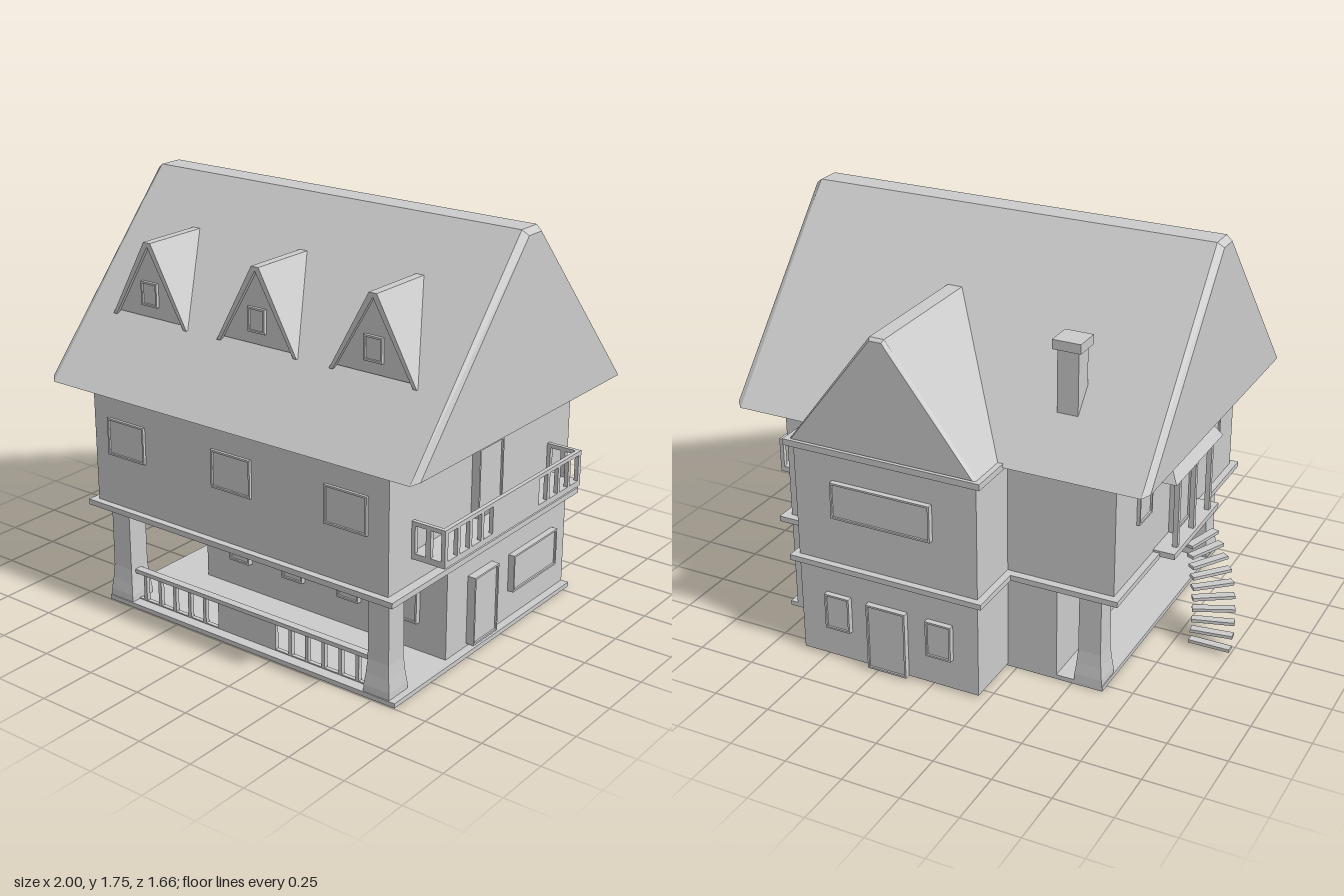
import * as THREE from 'three';

const material = new THREE.MeshStandardMaterial({ color: 0xcccccc, flatShading: true });

export function createModel() {
  const house = new THREE.Group();
  house.name = 'house';

  function add(name, geometry, parent = house) {
    const mesh = new THREE.Mesh(geometry, material);
    mesh.name = name;
    parent.add(mesh);
    return mesh;
  }

  // box given by its limits on each axis
  function block(name, [x0, x1], [y0, y1], [z0, z1], parent = house) {
    const mesh = add(name, new THREE.BoxGeometry(x1 - x0, y1 - y0, z1 - z0), parent);
    mesh.position.set((x0 + x1) / 2, (y0 + y1) / 2, (z0 + z1) / 2);
    return mesh;
  }

  const polygon = (points) => new THREE.Shape(points.map(([x, y]) => new THREE.Vector2(x, y)));

  function rectangle(x0, y0, x1, y1) {
    return polygon([[x0, y0], [x1, y0], [x1, y1], [x0, y1]]);
  }

  // roof prism with bevelled gable ends, running along z from 0 to length
  function roofPrism(profile, length, bevel) {
    const geometry = new THREE.ExtrudeGeometry(polygon(profile), {
      depth: length - 2 * bevel, bevelEnabled: true, bevelSegments: 1,
      bevelThickness: bevel, bevelSize: bevel * 0.75, bevelOffset: -bevel * 0.75,
    });
    return geometry.translate(0, 0, bevel);
  }

  // framed window or door standing out from a wall; angle turns it to face the wall's way
  function opening(name, x, y, z, w, h, depth, angle) {
    const group = new THREE.Group();
    group.name = name;
    const frame = rectangle(-w / 2, -h / 2, w / 2, h / 2);
    const t = 0.008;
    frame.holes.push(rectangle(-w / 2 + t, -h / 2 + t, w / 2 - t, h / 2 - t));
    add('frame', new THREE.ExtrudeGeometry(frame, { depth, bevelEnabled: false }), group);
    block('panel', [-w / 2 + t, w / 2 - t], [-h / 2 + t, h / 2 - t], [-0.01, depth - 0.008], group);
    group.position.set(x, y, z);
    group.rotation.y = angle;
    house.add(group);
  }

  // railing with n openings at each end and a solid middle
  function railing(name, length, n, margin, w, gap, x, y, z, angle) {
    const shape = rectangle(-length / 2, 0, length / 2, 0.155);
    for (let i = 0; i < n; i++) {
      const a = -length / 2 + margin + i * (w + gap);
      shape.holes.push(rectangle(a, 0.025, a + w, 0.138));
      shape.holes.push(rectangle(-a - w, 0.025, -a, 0.138));
    }
    const mesh = add(name, new THREE.ExtrudeGeometry(shape, { depth: 0.018, bevelEnabled: false }));
    mesh.position.set(x, y, z);
    mesh.rotation.y = angle;
  }

  const RIGHT = Math.PI / 2, LEFT = -Math.PI / 2, BACK = Math.PI;

  // walls and base
  block('base', [-0.635, 0.855], [0, 0.02], [-0.545, 0.745]);
  block('lowerWalls', [-0.43, 0.82], [0.01, 0.44], [-0.545, 0.35]);
  block('upperWalls', [-0.675, 0.82], [0.44, 0.97], [-0.545, 0.745]);
  block('wingWalls', [-0.21, 0.61], [0.01, 0.975], [-0.805, -0.4]);

  // trim bands
  block('floorBand', [-0.705, 0.86], [0.432, 0.456], [-0.58, 0.775]);
  block('wingFloorBand', [-0.24, 0.64], [0.432, 0.456], [-0.835, -0.5]);
  block('eaveBand', [-0.71, 0.85], [0.955, 0.98], [-0.58, 0.755]);
  block('wingEaveBand', [-0.24, 0.64], [0.955, 0.982], [-0.835, -0.5]);

  // main roof, profile drawn with -z across
  const mainRoof = roofPrism(
    [[-0.83, 0.97], [0.65, 0.97], [-0.035, 1.755], [-0.14, 1.755]], 1.84, 0.027);
  add('mainRoof', mainRoof.rotateY(Math.PI / 2).translate(-0.845, 0, 0));

  // wing roof
  const wingRoof = roofPrism(
    [[-0.22, 0.978], [0.62, 0.978], [0.232, 1.485], [0.168, 1.485]], 0.82, 0.015);
  add('wingRoof', wingRoof.translate(0, 0, -0.825));

  // dormers
  for (const x of [-0.48, 0.08, 0.635]) {
    const body = polygon([[-0.185, 1.25], [0.185, 1.25], [0.012, 1.553], [-0.012, 1.553]]);
    const rim = polygon([[-0.2, 1.235], [-0.183, 1.235], [0, 1.548], [0.183, 1.235],
      [0.2, 1.235], [0.018, 1.565], [-0.018, 1.565]]);
    add('dormer', new THREE.ExtrudeGeometry(body, { depth: 0.4, bevelEnabled: false }))
      .position.set(x, 0, 0.19);
    add('dormerRoof', new THREE.ExtrudeGeometry(rim, { depth: 0.42, bevelEnabled: false }))
      .position.set(x, 0, 0.185);
    opening('dormerWindow', x, 1.35, 0.588, 0.085, 0.1, 0.016, 0);
  }

  // chimney
  block('chimney', [-0.48, -0.39], [1.0, 1.44], [-0.48, -0.395]);
  block('chimneyCap', [-0.495, -0.375], [1.43, 1.47], [-0.495, -0.38]);

  // square pillars with flared feet
  const pillarProfile = [[0.061, 0.015], [0.06, 0.05], [0.054, 0.1], [0.049, 0.16], [0.048, 0.435]]
    .map(([half, y]) => new THREE.Vector2(half * Math.SQRT2, y));
  for (const [x, z] of [[-0.57, 0.68], [0.765, 0.68], [-0.57, -0.485]]) {
    add('pillar', new THREE.LatheGeometry(pillarProfile, 4, Math.PI / 4)).position.set(x, 0, z);
  }

  // front openings
  for (const x of [-0.495, 0.065, 0.625]) {
    opening('upperFrontWindow', x, 0.76, 0.743, 0.2, 0.16, 0.014, 0);
  }
  for (const x of [-0.23, 0.058, 0.348, 0.638]) {
    opening('lowerFrontWindow', x, 0.227, 0.348, 0.108, 0.16, 0.026, 0);
  }

  // openings on the +x side
  opening('sideDoor', 0.818, 0.182, 0.117, 0.175, 0.3, 0.038, RIGHT);
  opening('sideWindow', 0.818, 0.228, -0.27, 0.34, 0.165, 0.03, RIGHT);
  opening('balconyDoor', 0.818, 0.73, 0.11, 0.172, 0.3, 0.038, RIGHT);

  // openings on the -x side
  opening('landingDoor', -0.673, 0.608, 0.1, 0.17, 0.286, 0.03, LEFT);
  for (const z of [-0.27, 0.49]) {
    opening('upperSideWindow', -0.673, 0.75, z, 0.13, 0.16, 0.016, LEFT);
  }
  opening('lowerSideWindow', -0.428, 0.24, 0.1, 0.4, 0.165, 0.018, LEFT);

  // openings at the back of the wing
  opening('wingWindow', 0.21, 0.75, -0.803, 0.45, 0.16, 0.026, BACK);
  opening('wingDoor', 0.2, 0.16, -0.803, 0.18, 0.3, 0.028, BACK);
  for (const x of [-0.04, 0.43]) {
    opening('wingSmallWindow', x, 0.227, -0.803, 0.115, 0.16, 0.026, BACK);
  }

  // porch railing
  railing('porchRailing', 1.29, 6, 0.012, 0.067, 0.016, 0.085, 0.0, 0.68, 0);
  block('porchHandrail', [-0.53, 0.715], [0.14, 0.158], [0.672, 0.706]);

  // balcony
  block('balconyFloor', [0.81, 0.97], [0.56, 0.585], [-0.39, 0.6]);
  railing('balconyRailing', 0.99, 4, 0.02, 0.063, 0.018, 0.953, 0.56, 0.105, RIGHT);
  for (const z of [-0.39, 0.582]) {
    railing('balconySideRailing', 0.15, 1, 0.016, 0.048, 0.02, 0.895, 0.56, z, 0);
  }

  // landing with posts and hipped canopy
  block('landing', [-0.77, -0.67], [0.44, 0.465], [-0.15, 0.35]);
  for (const z of [-0.08, 0.1, 0.28]) {
    block('landingPost', [-0.757, -0.735], [0.46, 0.8], [z - 0.011, z + 0.011]);
  }
  const canopy = new THREE.BoxGeometry(0.1, 0.16, 0.52);
  const corners = canopy.attributes.position;
  for (let i = 0; i < corners.count; i++) {
    if (corners.getY(i) > 0) {
      corners.setX(i, Math.max(corners.getX(i), 0.045));
      corners.setZ(i, corners.getZ(i) * 0.65);
    }
  }
  add('canopy', canopy).position.set(-0.72, 0.865, 0.1);

  // curved stair: treads fan round a pivot beside the landing
  for (let i = 0; i < 10; i++) {
    const tread = new THREE.Group();
    tread.name = 'stairTread';
    block('board', [-0.24, -0.06], [-0.007, 0.007], [-0.018, 0.018], tread);
    tread.position.set(-0.76, 0.027 + i * 0.045, -0.062);
    tread.rotation.y = i * THREE.MathUtils.degToRad(8.2);
    house.add(tread);
  }

  return house;
}
